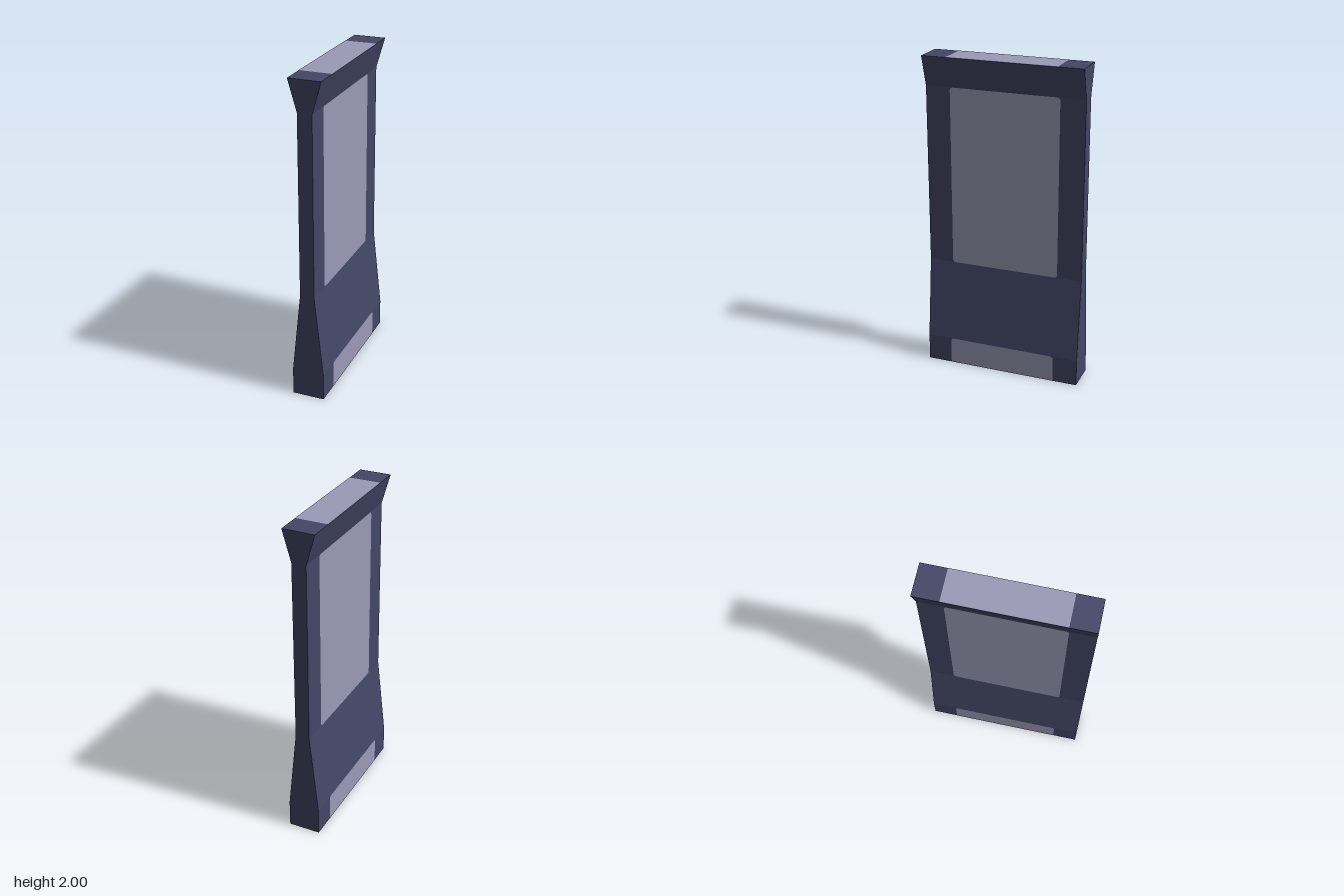
import * as THREE from 'three';

const frameMaterial = new THREE.MeshStandardMaterial({ color: 0x434766 });
frameMaterial.name = 'dark slate frame';
const panelMaterial = new THREE.MeshStandardMaterial({ color: 0x9a9ab7 });
panelMaterial.name = 'pale lavender panel';

const DEPTH = 1, WIDE = 0.1, NARROW = 0.045;
const FOOT_TOP = 0.17, WAIST = 0.685, FLARE = 1.81, TOP = 2;
const PANEL_HALF = 0.345, LIFT = 0.001;

// Flat plate with separate corner radii for its bottom and top edges
function plateGeometry(halfWidth, y0, y1, bottomRadius, topRadius) {
  const s = new THREE.Shape();
  const b = bottomRadius, t = topRadius, w = halfWidth;
  s.moveTo(-w + b, y0);
  s.lineTo(w - b, y0);
  if (b) s.quadraticCurveTo(w, y0, w, y0 + b);
  s.lineTo(w, y1 - t);
  if (t) s.quadraticCurveTo(w, y1, w - t, y1);
  s.lineTo(-w + t, y1);
  if (t) s.quadraticCurveTo(-w, y1, -w, y1 - t);
  s.lineTo(-w, y0 + b);
  if (b) s.quadraticCurveTo(-w, y0, -w + b, y0);
  return new THREE.ShapeGeometry(s, 5);
}

export function createModel() {
  const model = new THREE.Group();
  model.name = 'panelledSlab';

  const add = (name, geometry, material) => {
    const mesh = new THREE.Mesh(geometry, material);
    mesh.name = name;
    model.add(mesh);
    return mesh;
  };

  // Slab: wide foot, narrow waist and flared head, extruded front to back
  const half = [[WIDE, 0], [WIDE, FOOT_TOP], [NARROW, WAIST], [NARROW, FLARE], [WIDE, TOP]];
  const outline = [...half, ...half.map(([x, y]) => [-x, y]).reverse()];
  const profile = new THREE.Shape(outline.map(([x, y]) => new THREE.Vector2(x, y)));
  const body = new THREE.ExtrudeGeometry(profile, { depth: DEPTH, bevelEnabled: false });
  body.translate(0, 0, -DEPTH / 2);
  add('frame', body, frameMaterial);

  // Large inset panel and foot panel on both broad sides
  for (const [side, label] of [[1, 'left'], [-1, 'right']]) {
    const main = add(label + 'MainPanel', plateGeometry(PANEL_HALF, WAIST, FLARE, 0.02, 0.02), panelMaterial);
    main.position.x = side * (NARROW + LIFT);
    main.rotation.y = side * Math.PI / 2;

    const foot = add(label + 'FootPanel', plateGeometry(PANEL_HALF, 0, FOOT_TOP, 0, 0.02), panelMaterial);
    foot.position.x = side * (WIDE + LIFT);
    foot.rotation.y = side * Math.PI / 2;
  }

  // Light strip across the top face
  const strip = add('topPanel', new THREE.PlaneGeometry(WIDE * 2, PANEL_HALF * 2), panelMaterial);
  strip.rotation.x = -Math.PI / 2;
  strip.position.y = TOP + LIFT;

  return model;
}
